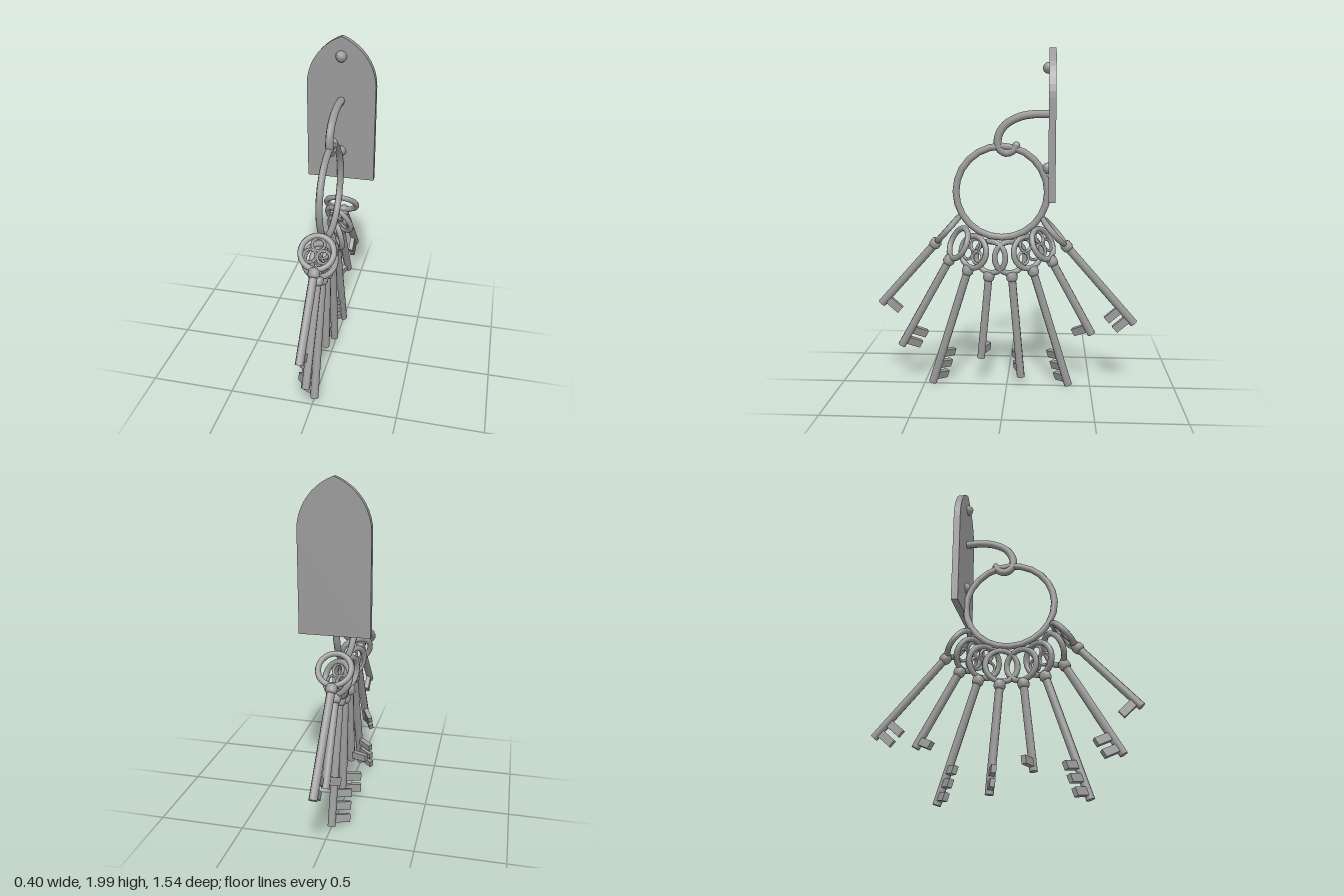
import * as THREE from 'three';

const iron = new THREE.MeshStandardMaterial({ color: 0x9a9a9a });
iron.name = 'grey iron';

function add(parent, name, geometry, x = 0, y = 0, z = 0) {
  const mesh = new THREE.Mesh(geometry, iron);
  mesh.name = name;
  mesh.position.set(x, y, z);
  parent.add(mesh);
  return mesh;
}

// One key: origin at the collar, shaft along -y, teeth along +x, bow facing x
function makeKey(length, teeth, tracery) {
  const key = new THREE.Group();
  key.name = 'key';
  add(key, 'shaft', new THREE.CylinderGeometry(0.024, 0.024, length, 8), 0, -length / 2, 0);
  // rounded collar
  const profile = [[0, -0.027], [0.026, -0.027], [0.034, -0.014], [0.034, 0.014], [0.024, 0.027], [0, 0.027]]
    .map(([r, y]) => new THREE.Vector2(r, y));
  add(key, 'collar', new THREE.LatheGeometry(profile, 10));

  const bow = new THREE.Group();
  bow.name = 'bow';
  bow.position.y = 0.115;
  bow.rotation.y = Math.PI / 2;
  key.add(bow);
  add(bow, 'bowRing', new THREE.TorusGeometry(0.094, 0.017, 8, 24));
  if (tracery) {
    // three small rings set inside the bow
    for (let i = 0; i < 3; i++) {
      const a = Math.PI / 2 + i * Math.PI * 2 / 3;
      add(bow, 'traceryRing', new THREE.TorusGeometry(0.036, 0.009, 6, 14),
        Math.cos(a) * 0.044, Math.sin(a) * 0.044, 0);
    }
  }
  for (let i = 0; i < teeth; i++) {
    add(key, 'tooth', new THREE.BoxGeometry(0.1, 0.046, 0.028), 0.06, -length + 0.045 + i * 0.074, 0);
  }
  return key;
}

export function createModel() {
  const model = new THREE.Group();
  model.name = 'keyRingOnWallHook';

  // Pointed-arch wall plate
  const outline = new THREE.Shape();
  outline.moveTo(-0.2, 1.15);
  outline.lineTo(0.2, 1.15);
  outline.lineTo(0.2, 1.72);
  outline.bezierCurveTo(0.2, 1.85, 0.11, 1.96, 0, 2);
  outline.bezierCurveTo(-0.11, 1.96, -0.2, 1.85, -0.2, 1.72);
  outline.closePath();
  add(model, 'wallPlate', new THREE.ExtrudeGeometry(outline, { depth: 0.04, bevelEnabled: false, curveSegments: 10 }), 0, 0, -0.28);

  // Studs
  for (const y of [1.89, 1.325]) {
    add(model, 'stud', new THREE.SphereGeometry(0.033, 8, 6), 0, y, -0.237);
  }

  // Hook with a rounded tip
  const hookPath = new THREE.CatmullRomCurve3([
    [1.633, -0.25], [1.631, -0.14], [1.612, -0.06], [1.565, 0.015], [1.5, 0.05],
    [1.44, 0.045], [1.412, 0.005], [1.425, -0.035], [1.455, -0.055],
  ].map(([y, z]) => new THREE.Vector3(0, y, z)));
  add(model, 'hook', new THREE.TubeGeometry(hookPath, 28, 0.023, 8));
  add(model, 'hookTip', new THREE.SphereGeometry(0.023, 8, 6), 0, 1.455, -0.055);

  // Large ring in the side plane
  const ring = add(model, 'largeRing', new THREE.TorusGeometry(0.266, 0.02, 8, 24), 0, 1.185, 0.03);
  ring.rotation.y = Math.PI / 2;

  // Keys: collar z, y, tip z, y, twist in degrees, side of teeth, teeth, tracery
  const keys = [
    [0.42, 0.88, 0.75, 0.51, 0, -1, 1, true],
    [0.34, 0.78, 0.635, 0.25, 30, -1, 2, false],
    [0.23, 0.72, 0.45, 0.02, 55, -1, 3, true],
    [0.106, 0.685, 0.155, 0.18, 72, -1, 1, false],
    [-0.03, 0.685, -0.085, 0.065, 72, 1, 2, false],
    [-0.155, 0.72, -0.37, 0.02, 55, 1, 3, true],
    [-0.265, 0.78, -0.505, 0.34, 30, 1, 1, true],
    [-0.35, 0.87, -0.752, 0.41, 0, 1, 2, false],
  ];
  for (const [cz, cy, tz, ty, twist, side, teeth, tracery] of keys) {
    const key = makeKey(Math.hypot(tz - cz, ty - cy), teeth, tracery);
    const a = THREE.MathUtils.degToRad(twist);
    key.position.set(0, cy, cz);
    key.rotation.set(Math.atan2(cz - tz, cy - ty), Math.atan2(-side * Math.cos(a), -Math.sin(a)), 0);
    model.add(key);
  }
  return model;
}
